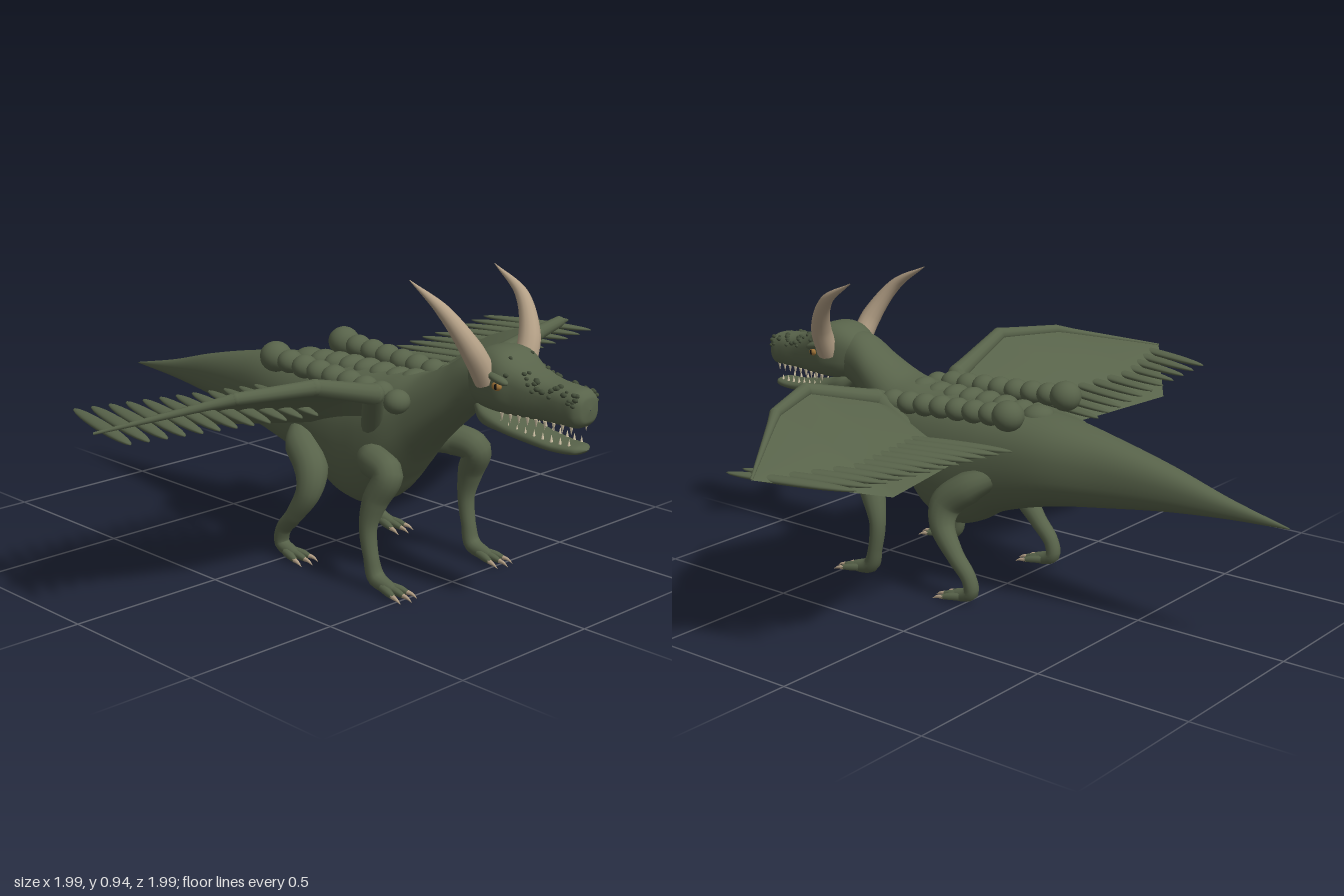
import * as THREE from 'three';

const V = (x, y, z) => new THREE.Vector3(x, y, z);
const mat = (name, color) => {
  const m = new THREE.MeshStandardMaterial({ color });
  m.name = name;
  return m;
};

// Smooth closed skin through sections [x, centreY, halfHeight, halfWidth]
function makeLoft(sections, power = 2.3) {
  const spine = new THREE.CatmullRomCurve3(sections.map(s => V(s[0], s[1], 0)), false, 'centripetal');
  const size = new THREE.CatmullRomCurve3(sections.map(s => V(s[2], s[3], s[0])), false, 'centripetal');
  const bend = v => Math.sign(v) * Math.abs(v) ** (2 / power);
  const point = (t, a) => {
    const c = spine.getPoint(t), r = size.getPoint(t);
    return V(c.x, c.y + bend(Math.sin(a)) * r.x, bend(Math.cos(a)) * r.y);
  };
  const rows = sections.length * 6, sides = 32, pos = [], idx = [];
  for (let i = 0; i <= rows; i++)
    for (let j = 0; j < sides; j++) pos.push(...point(i / rows, j / sides * Math.PI * 2).toArray());
  for (let i = 0; i < rows; i++)
    for (let j = 0; j < sides; j++) {
      const a = i * sides + j, c = i * sides + (j + 1) % sides;
      idx.push(a, a + sides, c, c, a + sides, c + sides);
    }
  const geometry = new THREE.BufferGeometry();
  geometry.setAttribute('position', new THREE.Float32BufferAttribute(pos, 3));
  geometry.setIndex(idx);
  geometry.computeVertexNormals();
  return { geometry, point };
}

// Tube whose radius follows the points [x, y, z, radius]; side mirrors z
function taperedTube(points, side = 1, tension = 'centripetal', rows = 36, sides = 14) {
  const curve = new THREE.CatmullRomCurve3(points.map(p => V(p[0], p[1], p[2] * side)), false, tension);
  const g = new THREE.TubeGeometry(curve, rows, 1, sides);
  const pos = g.attributes.position, p = V(0, 0, 0);
  for (let i = 0; i <= rows; i++) {
    const c = curve.getPointAt(i / rows);
    const f = curve.getUtoTmapping(i / rows) * (points.length - 1);
    const k = Math.min(Math.floor(f), points.length - 2);
    const r = THREE.MathUtils.lerp(points[k][3], points[k + 1][3], f - k);
    for (let j = 0; j <= sides; j++) {
      const n = i * (sides + 1) + j;
      p.fromBufferAttribute(pos, n).sub(c).multiplyScalar(r).add(c);
      pos.setXYZ(n, p.x, p.y, p.z);
    }
  }
  return g;
}

// Piecewise-linear sample of a list of points
function sample(list, t) {
  const f = t * (list.length - 1), k = Math.min(Math.floor(f), list.length - 2);
  return V(...list[k]).lerp(V(...list[k + 1]), f - k);
}

export function createModel() {
  const root = new THREE.Group();
  root.name = 'hornedDragon';
  const skin = mat('green skin', 0x58634a);
  const dark = mat('dark scales', 0x434d39);
  const horn = mat('horn', 0xb5a187);
  const ivory = mat('teeth', 0xd2c5a8);
  const amber = mat('amber eye', 0xa87a3c);
  const black = mat('pupil', 0x15130f);
  const wingSkin = skin.clone();
  wingSkin.name = 'wing membrane green';
  wingSkin.side = THREE.DoubleSide;

  const add = (name, geometry, material, parent = root) => {
    const m = new THREE.Mesh(geometry, material);
    m.name = name;
    parent.add(m);
    return m;
  };
  const ball = new THREE.SphereGeometry(1, 18, 12);
  const blob = (name, p, s, material, parent = root) => {
    const m = add(name, ball, material, parent);
    m.position.set(...p);
    m.scale.set(...s);
    return m;
  };

  // Tail, trunk and neck in one skin
  add('body', makeLoft([
    [-1, 0.4, 0.002, 0.002], [-0.8, 0.418, 0.03, 0.025], [-0.6, 0.437, 0.068, 0.055],
    [-0.4, 0.445, 0.105, 0.09], [-0.2, 0.445, 0.138, 0.135], [0, 0.42, 0.172, 0.155],
    [0.1, 0.395, 0.202, 0.16], [0.18, 0.39, 0.212, 0.16], [0.25, 0.405, 0.2, 0.158],
    [0.32, 0.45, 0.163, 0.148], [0.4, 0.505, 0.122, 0.122], [0.5, 0.577, 0.1, 0.095],
    [0.58, 0.635, 0.092, 0.078], [0.66, 0.66, 0.08, 0.07],
  ]).geometry, skin);

  // Head and lower jaw
  const head = new THREE.Group();
  head.name = 'head';
  root.add(head);
  const skull = makeLoft([
    [0.58, 0.655, 0.06, 0.06], [0.65, 0.665, 0.09, 0.086], [0.72, 0.664, 0.092, 0.096],
    [0.78, 0.647, 0.075, 0.08], [0.86, 0.635, 0.06, 0.064], [0.93, 0.632, 0.056, 0.058],
    [0.97, 0.63, 0.052, 0.053], [0.988, 0.63, 0.034, 0.036], [0.992, 0.63, 0.001, 0.001],
  ], 2.7);
  add('skull', skull.geometry, skin, head);
  add('lowerJaw', makeLoft([
    [0.61, 0.585, 0.02, 0.045], [0.65, 0.562, 0.034, 0.07], [0.72, 0.54, 0.024, 0.068],
    [0.8, 0.524, 0.02, 0.058], [0.9, 0.513, 0.016, 0.05], [0.965, 0.515, 0.013, 0.036],
    [0.988, 0.517, 0.001, 0.002],
  ], 2.5).geometry, skin, head);

  // Small scales scattered over the snout and brow
  let seed = 7;
  const rnd = () => (seed = (seed * 16807) % 2147483647) / 2147483647;
  for (let i = 0; i < 26; i++) {
    const t = 0.3 + 0.5 * rnd(), a = 0.15 + 1.1 * rnd(), r = 0.004 + 0.004 * rnd();
    for (const angle of [a, Math.PI - a])
      blob('scale', skull.point(t, angle).toArray(), [r * 1.3, r, r], dark, head);
  }

  // Teeth
  const tooth = new THREE.ConeGeometry(0.006, 0.026, 7);
  for (const s of [1, -1])
    for (let i = 0; i < 9; i++) {
      const x = 0.73 + i * 0.028, w = 0.072 - i * 0.0035;
      const up = add('upperTooth', tooth, ivory, head);
      up.position.set(x, 0.571, s * (w - 0.012));
      up.rotation.x = Math.PI;
      add('lowerTooth', tooth, ivory, head).position.set(x - 0.01, 0.546 - i * 0.0018, s * (w - 0.017));
    }

  // Three rows of rounded back plates
  for (let i = 0; i < 9; i++) {
    const x = -0.12 + i * 0.065, big = i === 0 ? 0.05 : 0.038;
    if (i < 9) blob('spinePlate', [Math.min(x, 0.4), 0.575 + 0.012 * Math.sin(i / 8 * Math.PI) + (i > 6 ? 0.01 : 0), 0],
      [big, 0.035, 0.052], skin);
    for (const s of [1, -1])
      blob('sidePlate', [x + 0.004, i === 8 ? 0.565 : 0.606 - 0.004 * i, s * 0.145],
        [big, big * 0.95, i === 0 ? 0.05 : 0.042], skin);
  }

  for (const s of [1, -1]) {
    const label = s > 0 ? 'near' : 'far';

    // Horns, brows, eyes and nostrils
    add(label + 'Horn', taperedTube([
      [0.685, 0.67, 0.075, 0.036], [0.668, 0.76, 0.122, 0.033],
      [0.6, 0.865, 0.165, 0.02], [0.482, 0.937, 0.178, 0.001],
    ], s), horn, head);
    const brow = blob('brow', [0.73, 0.687, s * 0.086], [0.042, 0.013, 0.018], skin, head);
    brow.rotation.z = -0.3;
    blob('eye', [0.735, 0.665, s * 0.09], [0.017, 0.013, 0.012], amber, head);
    blob('pupil', [0.738, 0.665, s * 0.099], [0.005, 0.009, 0.004], black, head);
    blob('nostril', [0.965, 0.655, s * 0.047], [0.009, 0.006, 0.006], dark, head);

    // Legs with clawed feet
    const legs = {
      frontLeg: [[0.28, 0.37, 0.13, 0.04], [0.34, 0.375, 0.17, 0.05], [0.415, 0.355, 0.19, 0.046],
        [0.38, 0.275, 0.205, 0.04], [0.358, 0.19, 0.212, 0.027], [0.37, 0.1, 0.212, 0.023],
        [0.39, 0.04, 0.21, 0.027], [0.45, 0.02, 0.21, 0.02], [0.475, 0.016, 0.21, 0.002]],
      hindLeg: [[-0.04, 0.39, 0.12, 0.03], [0.02, 0.36, 0.165, 0.052], [0.09, 0.3, 0.19, 0.052],
        [0.095, 0.235, 0.205, 0.04], [0.04, 0.15, 0.212, 0.028], [-0.015, 0.085, 0.212, 0.024],
        [-0.022, 0.04, 0.21, 0.024], [0.03, 0.02, 0.21, 0.02], [0.055, 0.016, 0.21, 0.002]],
    };
    for (const [name, path] of Object.entries(legs)) {
      const leg = new THREE.Group();
      leg.name = label + name;
      root.add(leg);
      add('limb', taperedTube(path, s, 'centripetal', 48), skin, leg);
      const fx = path[7][0] - 0.02;
      for (const k of [-1, 0, 1]) {
        const z = 0.21 + k * 0.014, len = k ? 0.06 : 0.072;
        add('toe', taperedTube([[fx, 0.022, z, 0.013], [fx + len * 0.6, 0.018, z + k * 0.01, 0.012],
          [fx + len, 0.013, z + k * 0.015, 0.008]], s, 'centripetal', 8, 8), skin, leg);
        add('claw', taperedTube([[fx + len - 0.006, 0.014, z + k * 0.015, 0.008],
          [fx + len + 0.016, 0.011, z + k * 0.019, 0.005], [fx + len + 0.034, 0.002, z + k * 0.02, 0.0005]],
          s, 'centripetal', 6, 7), horn, leg);
      }
    }

    // Wing: leading bone, cambered membrane and long trailing quills
    const wing = new THREE.Group();
    wing.name = label + 'Wing';
    root.add(wing);
    const lead = [[0.28, 0.46, 0.12], [0.365, 0.59, 0.2], [0.405, 0.667, 0.47], [0.32, 0.657, 0.68], [0.1, 0.577, 0.995]];
    const radii = [0.035, 0.032, 0.024, 0.018, 0.004];
    const straight = new THREE.CurvePath();
    for (let i = 0; i < lead.length - 1; i++) {
      // short segments keep the bone angular, with a joint at each bend
      add('wingBone', taperedTube([[...lead[i], radii[i]], [...lead[i + 1], radii[i + 1]]], s, 'centripetal', 6, 12), skin, wing);
      blob('wingJoint', [lead[i][0], lead[i][1], s * lead[i][2]], [radii[i], radii[i], radii[i]], skin, wing);
    }
    const trail = [[0.06, 0.43, 0.12], [0.05, 0.44, 0.2], [-0.04, 0.465, 0.45], [-0.13, 0.493, 0.68], [0.1, 0.577, 0.995]];
    const sheet = new THREE.PlaneGeometry(1, 1, 32, 10);
    const pos = sheet.attributes.position;
    for (let i = 0; i < pos.count; i++) {
      const u = pos.getX(i) + 0.5, v = pos.getY(i) + 0.5;
      const p = sample(lead, u).lerp(sample(trail, u), v);
      pos.setXYZ(i, p.x, p.y + 0.02 * Math.sin(v * Math.PI) * Math.sin(u * Math.PI), p.z * s);
    }
    sheet.computeVertexNormals();
    add('membrane', sheet, wingSkin, wing);
    for (let i = 0; i < 12; i++) {
      const z = 0.24 + i * 0.0615;
      const quill = blob('quill', [0.03, 0.515 + i * 0.0048, s * z], [0.205, 0.011, 0.023], skin, wing);
      quill.rotation.y = -s * 0.25;
    }
  }
  return root;
}
